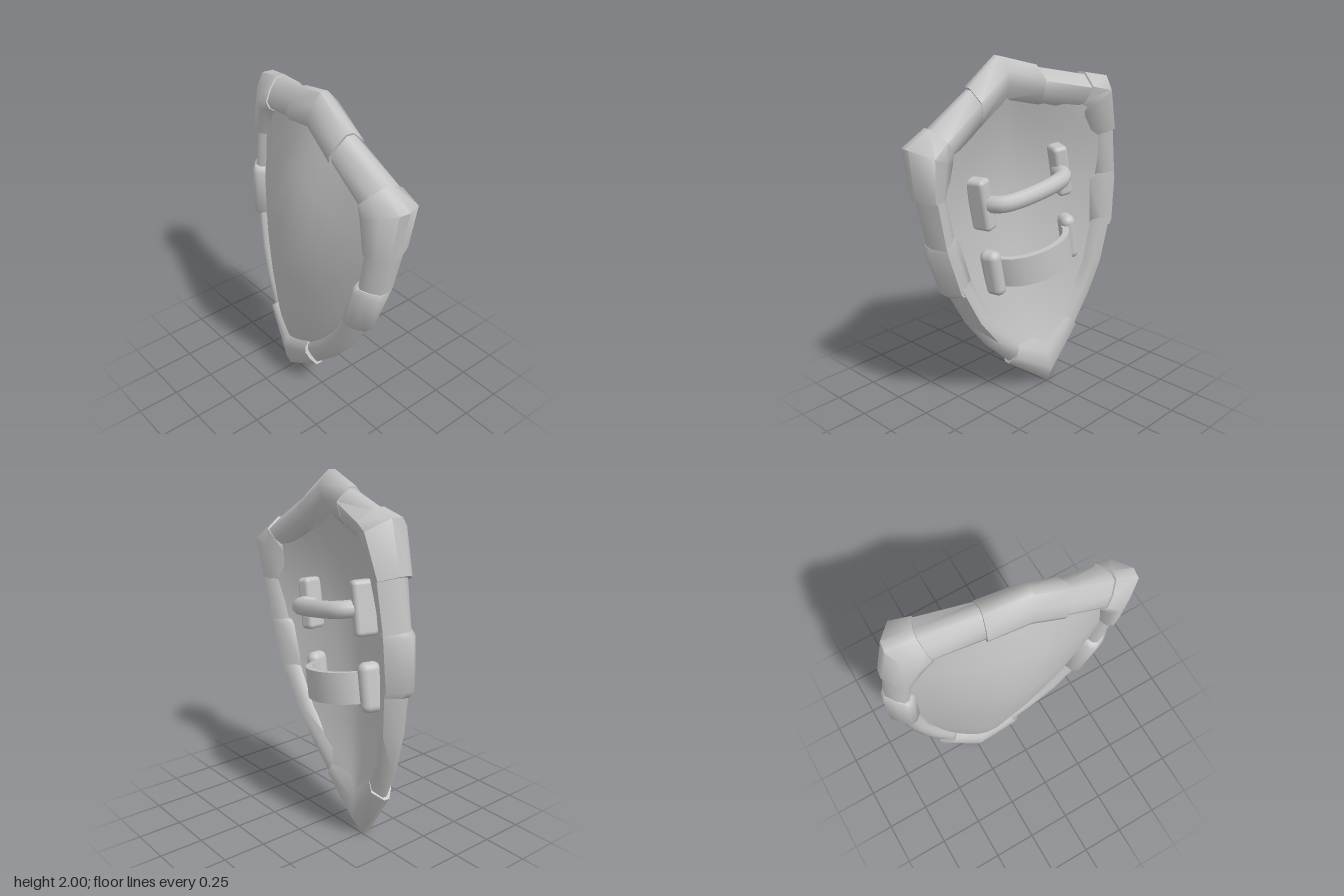
import * as THREE from 'three';
import { toCreasedNormals } from 'three/addons/utils/BufferGeometryUtils.js';
import { RoundedBoxGeometry } from 'three/addons/geometries/RoundedBoxGeometry.js';

const grey = new THREE.MeshStandardMaterial({ color: 0xc4c4c4 });
grey.name = 'plain grey';

function add(parent, name, geometry) {
  const mesh = new THREE.Mesh(geometry, grey);
  mesh.name = name;
  parent.add(mesh);
  return mesh;
}

function build(positions, index) {
  const g = new THREE.BufferGeometry();
  g.setAttribute('position', new THREE.Float32BufferAttribute(positions, 3));
  g.setIndex(index);
  return toCreasedNormals(g, 1.1);
}

// Rim cross-section: [0 = outer edge .. 1 = inner edge, depth -1 = back .. 1 = front]
const RING = [[0, 0.25], [0.3, 0.72], [0.6, 1], [0.8, 0.9], [1, 0.4], [1.05, -0.3], [0.7, -0.82], [0.35, -1], [0, -0.2]];

// Lofts the rim section through stations [outerX, outerY, innerX, innerY, frontZ, backZ]
function rimSegment(stations) {
  const pos = [], idx = [], n = RING.length, last = (stations.length - 1) * n;
  for (const [ox, oy, ix, iy, front, back] of stations) {
    for (const [t, s] of RING) {
      pos.push(ox + (ix - ox) * t, oy + (iy - oy) * t, (front + back) / 2 + s * (front - back) / 2);
    }
  }
  for (let k = 0; k < last; k += n) {
    for (let i = 0; i < n; i++) {
      const j = (i + 1) % n;
      idx.push(k + i, k + j, k + n + i, k + j, k + n + j, k + n + i);
    }
  }
  for (let i = 1; i < n - 1; i++) idx.push(0, i + 1, i, last, last + i, last + i + 1);
  return build(pos, idx);
}

const mirror = (stations) => stations.map(([a, b, c, ...r]) => [-a, b, -c, ...r]).reverse();

// Side pieces of the rim, listed clockwise for one half
const SIDES = {
  upperRim: [[0.19, 0.91, 0.17, 0.725, 0.1, -0.065], [0.54, 0.77, 0.43, 0.62, 0.08, -0.135]],
  cornerGuard: [[0.51, 0.795, 0.42, 0.62, 0.09, -0.135], [0.655, 0.738, 0.445, 0.595, 0.11, -0.165],
    [0.667, 0.467, 0.5, 0.43, 0.095, -0.132]],
  sideRim: [[0.645, 0.5, 0.505, 0.47, 0.075, -0.13], [0.635, 0.17, 0.5, 0.17, 0.075, -0.112]],
  sideClamp: [[0.638, 0.2, 0.49, 0.2, 0.085, -0.114], [0.648, 0.17, 0.475, 0.17, 0.1, -0.114],
    [0.603, -0.1, 0.44, -0.09, 0.1, -0.097], [0.575, -0.13, 0.45, -0.11, 0.085, -0.093]],
  lowerRim: [[0.58, -0.08, 0.45, -0.07, 0.075, -0.095], [0.49, -0.348, 0.365, -0.32, 0.08, -0.07],
    [0.385, -0.55, 0.265, -0.485, 0.085, -0.045], [0.24, -0.75, 0.14, -0.64, 0.09, -0.025]],
};
const TOP_HALF = [[0, 1.014, 0, 0.795, 0.125, -0.05], [0.22, 0.91, 0.195, 0.71, 0.113, -0.075]];
const BOTTOM_HALF = [[0.262, -0.745, 0.175, -0.6, 0.11, -0.035], [0, -1.015, 0, -0.7, 0.125, -0.035]];

// Domed panel rows: [centreY, edgeY, halfWidth, front centreZ, front edgeZ, back centreZ, back edgeZ]
const ROWS = [
  [0.86, 0.66, 0.47, 0.1, 0.04, -0.02, -0.11], [0.6, 0.45, 0.54, 0.18, 0.03, 0.08, -0.11],
  [0.25, 0.19, 0.54, 0.228, 0.02, 0.13, -0.095], [-0.1, -0.1, 0.49, 0.2, 0.02, 0.105, -0.075],
  [-0.4, -0.34, 0.41, 0.16, 0.03, 0.07, -0.052], [-0.6, -0.52, 0.3, 0.135, 0.04, 0.04, -0.03],
  [-0.75, -0.66, 0.2, 0.09, 0.05, -0.005, -0.02],
];
// Bulge across the panel: [fraction of half width, height]
const HALF_BULGE = [[0.18, 0.96], [0.35, 0.82], [0.55, 0.62], [0.8, 0.3], [1, 0]];
const BULGE = [...HALF_BULGE.map(([f, h]) => [-f, h]).reverse(), [0, 1], ...HALF_BULGE];

function panel(isBack) {
  const pos = [], idx = [], n = BULGE.length;
  for (const [cy, ey, w, frontC, frontE, backC, backE] of ROWS) {
    const cz = isBack ? backC : frontC, ez = isBack ? backE : frontE;
    const halfWidth = isBack ? w * 1.06 : w;
    for (const [f, h] of BULGE) {
      pos.push(f * halfWidth, cy + (ey - cy) * Math.abs(f), ez + (cz - ez) * h);
    }
  }
  for (let r = 0; r < ROWS.length - 1; r++) {
    for (let c = 0; c < n - 1; c++) {
      const a = r * n + c, b = a + 1, d = a + n, e = d + 1;
      if (isBack) idx.push(a, b, d, b, e, d);
      else idx.push(a, d, b, b, d, e);
    }
  }
  return build(pos, idx);
}

// Round bar grip
function gripBar() {
  const path = new THREE.CatmullRomCurve3([
    [-0.26, -0.02], [-0.215, -0.11], [-0.12, -0.145], [0.12, -0.145], [0.215, -0.11], [0.26, -0.02],
  ].map(([x, z]) => new THREE.Vector3(x, 0, z)));
  return new THREE.TubeGeometry(path, 24, 0.047, 10);
}

// Flat curved strap
function armStrap() {
  const s = new THREE.Shape();
  s.moveTo(-0.26, -0.02);
  s.bezierCurveTo(-0.2, -0.245, 0.2, -0.245, 0.26, -0.02);
  s.lineTo(0.225, -0.02);
  s.bezierCurveTo(0.16, -0.195, -0.16, -0.195, -0.225, -0.02);
  const g = new THREE.ExtrudeGeometry(s, { depth: 0.17, bevelEnabled: false, curveSegments: 12 });
  g.rotateX(Math.PI / 2).translate(0, 0.085, 0);
  return toCreasedNormals(g, 0.6);
}

function handle(name, y, grip, length, radius) {
  const group = new THREE.Group();
  group.name = name;
  group.position.y = y;
  add(group, 'grip', grip);
  for (const side of [-1, 1]) {
    const pad = add(group, side > 0 ? 'leftPad' : 'rightPad', new RoundedBoxGeometry(0.085, length, 0.12, 3, radius));
    pad.position.set(side * 0.275, 0, -0.01);
    pad.rotation.y = side * 0.3;
  }
  return group;
}

export function createModel() {
  const model = new THREE.Group();
  model.name = 'shield';
  const body = new THREE.Group();
  body.name = 'shieldBody';
  // The whole shield leans to one side and is turned slightly
  body.position.set(-0.08, 1, 0);
  body.rotation.set(0, -0.14, -0.18);
  model.add(body);

  add(body, 'frontPanel', panel(false));
  add(body, 'backPanel', panel(true));

  add(body, 'topClamp', rimSegment([mirror(TOP_HALF)[0], ...TOP_HALF]));
  add(body, 'bottomClamp', rimSegment([...BOTTOM_HALF, mirror(BOTTOM_HALF)[1]]));
  for (const [name, stations] of Object.entries(SIDES)) {
    add(body, name + 'Left', rimSegment(stations));
    add(body, name + 'Right', rimSegment(mirror(stations)));
  }

  body.add(handle('upperHandle', 0.3, gripBar(), 0.29, 0.025));
  body.add(handle('lowerHandle', -0.115, armStrap(), 0.27, 0.042));
  return model;
}
